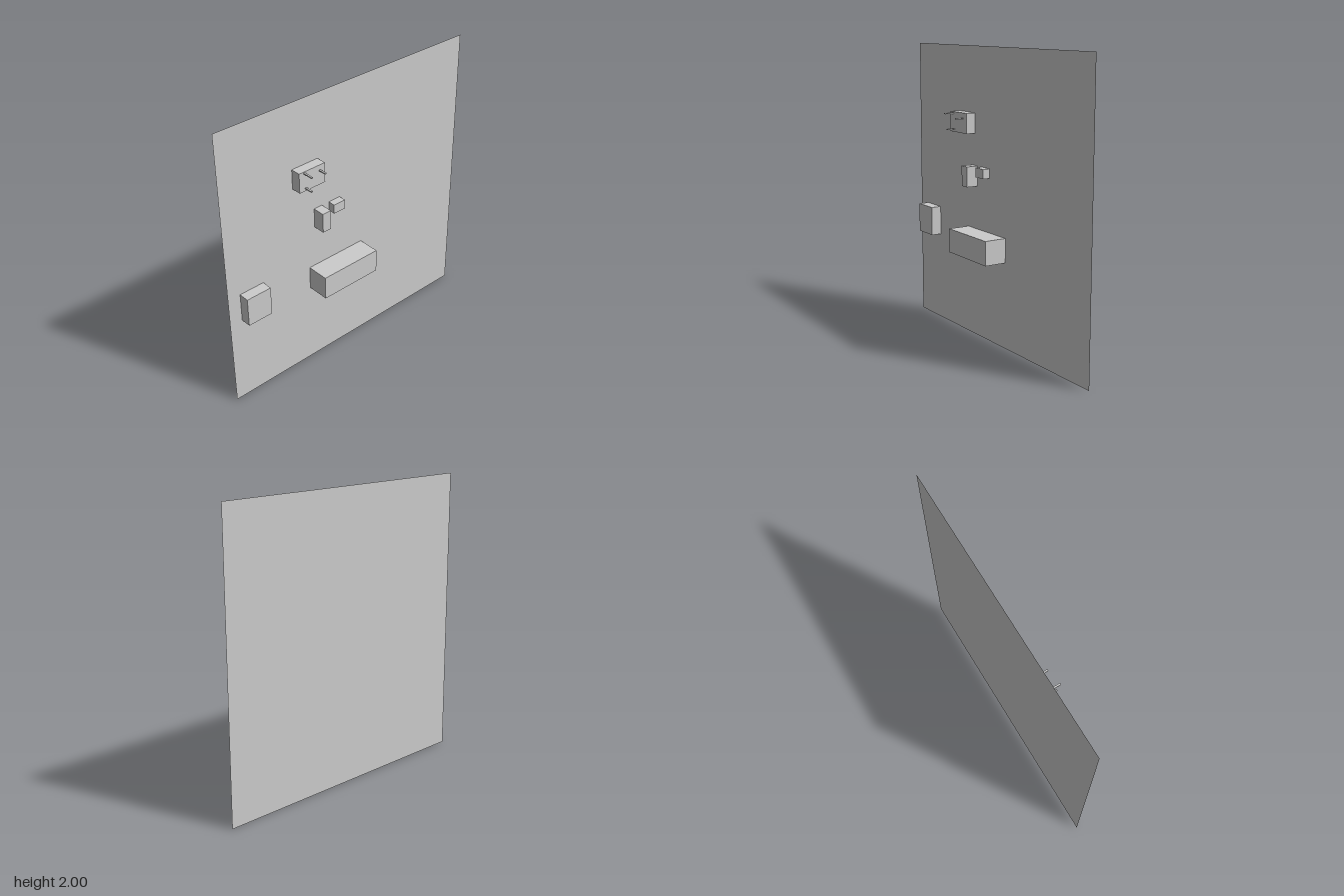
import * as THREE from 'three';

const BACK = -0.078; // plane of the wall panel

export function createModel() {
  const model = new THREE.Group();
  const material = new THREE.MeshStandardMaterial({ color: 0xcccccc, flatShading: true });
  const sheet = new THREE.MeshStandardMaterial({ color: 0xcccccc, side: THREE.DoubleSide });

  // Box given by its extents on each axis
  const addBox = (name, x0, x1, y0, y1, z0, z1) => {
    const mesh = new THREE.Mesh(new THREE.BoxGeometry(x1 - x0, y1 - y0, z1 - z0), material);
    mesh.position.set((x0 + x1) / 2, (y0 + y1) / 2, (z0 + z1) / 2);
    mesh.name = name;
    model.add(mesh);
  };

  // Thin square wall panel
  const panel = new THREE.Mesh(new THREE.PlaneGeometry(2, 2), sheet);
  panel.position.set(0, 1, BACK);
  panel.name = 'wallPanel';
  model.add(panel);

  // Blocks mounted on the panel
  const blocks = [
    ['pegBlock', -0.46, -0.256, 1.415, 1.553, -0.008],
    ['tallBlock', -0.294, -0.228, 1.057, 1.196, 0.007],
    ['smallBlock', -0.171, -0.079, 1.131, 1.196, -0.026],
    ['sideBlock', -0.907, -0.725, 0.629, 0.833, -0.004],
    ['longBlock', -0.346, 0.109, 0.592, 0.758, 0.078],
  ];
  for (const [name, x0, x1, y0, y1, front] of blocks) addBox(name, x0, x1, y0, y1, BACK, front);

  // Slim pegs standing out of the upper block
  const pegs = [[-0.419, 1.542, 0.064], [-0.299, 1.516, 0.05], [-0.411, 1.434, 0.05]];
  pegs.forEach(([x, y, tip], i) =>
    addBox(`peg${i + 1}`, x - 0.006, x + 0.006, y - 0.004, y + 0.004, -0.008, tip));

  return model;
}
